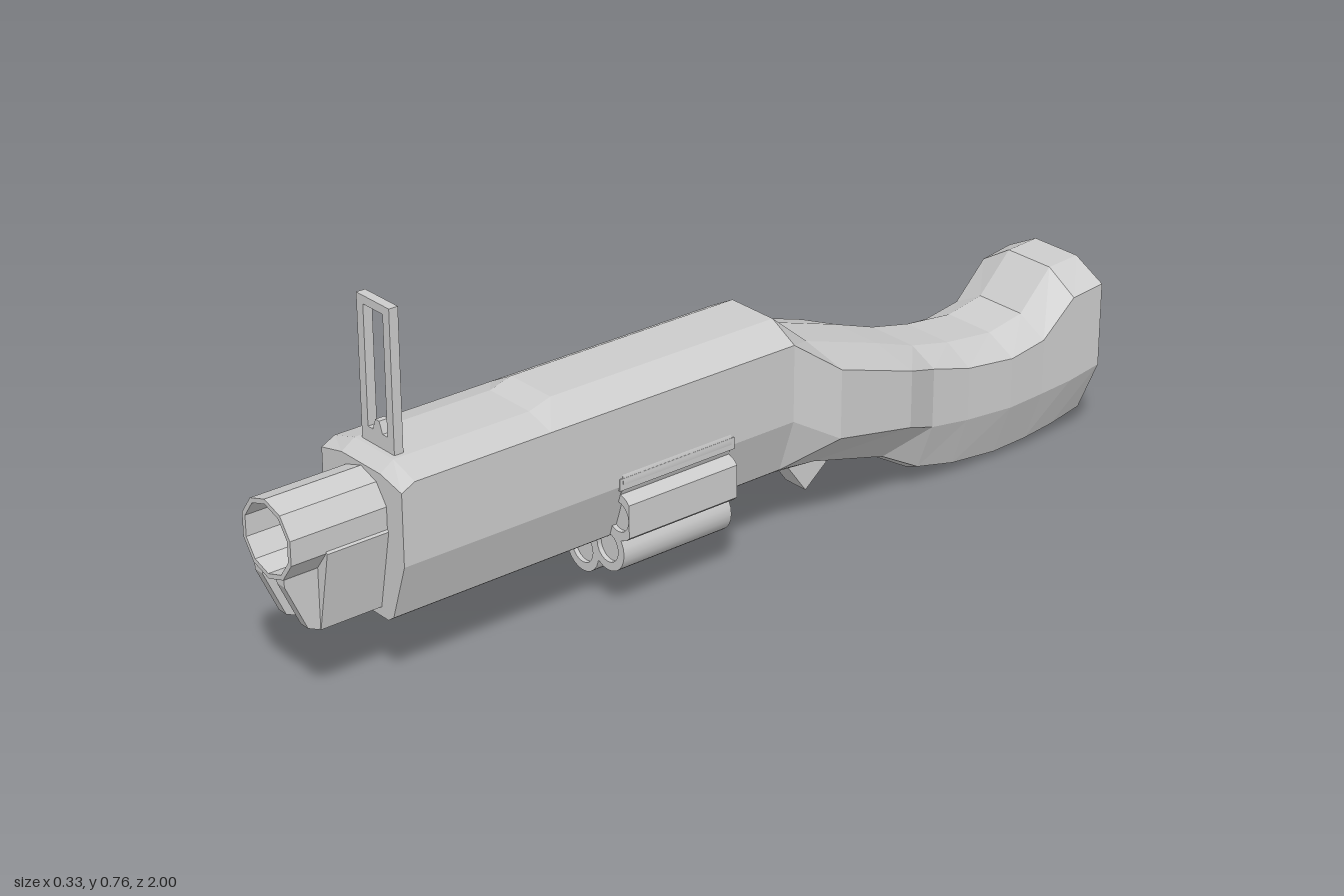
import * as THREE from 'three';
import { toCreasedNormals } from 'three/addons/utils/BufferGeometryUtils.js';

const flat = new THREE.MeshStandardMaterial({ color: 0xcccccc, flatShading: true });
const smooth = new THREE.MeshStandardMaterial({ color: 0xcccccc });

function polygon(points, Type = THREE.Shape) {
  return new Type(points.map(([x, y]) => new THREE.Vector2(x, y)));
}

// Extrude an xy outline from z0 to z1
function extrudeZ(shape, z0, z1) {
  return new THREE.ExtrudeGeometry(shape, { depth: z1 - z0, bevelEnabled: false, curveSegments: 10 })
    .translate(0, 0, z0);
}

// Extrude a side outline given as [z, y], centred on the given x
function extrudeX(points, width, x = 0) {
  return new THREE.ExtrudeGeometry(polygon(points), { depth: width, bevelEnabled: false })
    .translate(0, 0, -width / 2).rotateY(-Math.PI / 2).translate(x, 0, 0);
}

// Skin a run of clockwise rings going towards -z, closed at both ends
function loft(rings) {
  const n = rings[0].length;
  const index = [];
  for (let i = 0; i < rings.length - 1; i++) {
    for (let j = 0; j < n; j++) {
      const k = (j + 1) % n;
      const a = i * n + j, b = i * n + k, c = a + n, d = b + n;
      index.push(a, b, c, b, d, c);
    }
  }
  const last = (rings.length - 1) * n;
  for (let j = 1; j < n - 1; j++) {
    index.push(0, j + 1, j, last, last + j, last + j + 1);
  }
  const g = new THREE.BufferGeometry();
  g.setAttribute('position', new THREE.Float32BufferAttribute(rings.flat(2), 3));
  g.setIndex(index);
  const out = g.toNonIndexed();
  out.computeVertexNormals();
  return out;
}

// One mirrored section: top, shoulder, side, lower edge, bottom
function section([z, topY, side, shoulderY, midY, lowY, bottomY], topHalf, lowHalf, bottomHalf) {
  const half = [[topHalf, topY, z], [side, shoulderY, z], [side, midY, z], [lowHalf, lowY, z], [bottomHalf, bottomY, z]];
  return [...half, ...half.map(([x, y, w]) => [-x, y, w]).reverse()];
}

export function createModel() {
  const model = new THREE.Group();
  const add = (name, geometry, material = flat) => {
    const mesh = new THREE.Mesh(geometry, material);
    mesh.name = name;
    model.add(mesh);
  };

  // Long body running into the curved stock
  // z, top, half width, shoulder, side end, lower edge, bottom
  const bodyRows = [
    [0.79, 0.45, 0.125, 0.435, 0.285, 0.165, 0.153],
    [0.76, 0.47, 0.125, 0.45, 0.285, 0.165, 0.153],
    [0.45, 0.47, 0.125, 0.45, 0.285, 0.165, 0.153],
    [0.40, 0.485, 0.125, 0.45, 0.285, 0.165, 0.153],
    [-0.15, 0.485, 0.125, 0.45, 0.285, 0.165, 0.153],
    [-0.24, 0.41, 0.165, 0.385, 0.235, 0.155, 0.143],
    [-0.43, 0.35, 0.165, 0.325, 0.2, 0.105, 0.095],
    [-0.53, 0.315, 0.125, 0.285, 0.155, 0.05, 0.037],
    [-0.63, 0.293, 0.125, 0.257, 0.14, 0.027, 0.014],
    [-0.75, 0.28, 0.13, 0.245, 0.133, 0.015, 0],
    [-0.84, 0.297, 0.13, 0.26, 0.137, 0.018, 0.003],
    [-0.92, 0.38, 0.134, 0.335, 0.145, 0.027, 0.013],
    [-1, 0.385, 0.137, 0.345, 0.16, 0.043, 0.03],
  ];
  add('bodyAndStock', loft(bodyRows.map((r) => section(r, 0.06, 0.085, r[0] > -0.2 ? 0.068 : 0.052))));

  // Hollow ten-sided barrel
  const barrelProfile = [[0.08, 0.78], [0.08, 1], [0.07, 1], [0.07, 0.79], [0, 0.79]]
    .map(([r, y]) => new THREE.Vector2(r, y));
  add('barrel', new THREE.LatheGeometry(barrelProfile, 10).rotateX(Math.PI / 2).translate(0, 0.365, 0));

  // Block and twin fins below the barrel
  add('barrelBlock', extrudeZ(polygon([
    [-0.048, 0.173], [0.048, 0.173], [0.08, 0.34], [0.05, 0.37], [-0.05, 0.37], [-0.08, 0.34],
  ]), 0.78, 0.925));
  for (const s of [1, -1]) {
    add('barrelFin', extrudeX([
      [0.8, 0.175], [0.93, 0.175], [0.952, 0.185], [0.998, 0.285], [0.998, 0.3], [0.8, 0.3],
    ], 0.024, s * 0.035));
  }

  // Upright sight frame with a small pointed bead
  const frame = polygon([[-0.05, 0.465], [0.05, 0.465], [0.05, 0.76], [-0.05, 0.76]]);
  frame.holes.push(polygon([
    [-0.03, 0.5], [-0.03, 0.743], [0.03, 0.743], [0.03, 0.5],
    [0.015, 0.5], [0.006, 0.523], [-0.006, 0.523], [-0.015, 0.5],
  ], THREE.Path));
  add('sightFrame', extrudeZ(frame, 0.73, 0.75));

  // Eight-lobed revolving drum with bored chambers
  const cy = 0.215, orbit = 0.11, lobe = 0.05, count = 8;
  const outline = [];
  const steps = count * 10;
  for (let i = 0; i < steps; i++) {
    const a = (i / steps) * Math.PI * 2;
    const step = (Math.PI * 2) / count;
    const d = a - Math.round(a / step) * step;
    const r = orbit * Math.cos(d) + Math.sqrt(lobe ** 2 - (orbit * Math.sin(d)) ** 2);
    outline.push([THREE.MathUtils.clamp(r * Math.cos(a), -0.144, 0.144), cy + r * Math.sin(a)]);
  }
  const drum = polygon(outline);
  for (let i = 0; i < count; i++) {
    const a = (i / count) * Math.PI * 2;
    const x = orbit * Math.cos(a), y = cy + orbit * Math.sin(a);
    drum.holes.push(new THREE.Path().absarc(x, y, 0.032, 0, Math.PI * 2, true));
    add('chamberPlug', new THREE.CylinderGeometry(0.032, 0.032, 0.25, 20).rotateX(Math.PI / 2).translate(x, y, 0.147), smooth);
  }
  add('drum', toCreasedNormals(extrudeZ(drum, 0.012, 0.282), 0.6), smooth);

  // Slim frame strip over the drum on each side
  add('drumSlot', new THREE.BoxGeometry(0.254, 0.025, 0.285).translate(0, 0.289, 0.147));

  // Trigger
  add('trigger', extrudeX([
    [-0.15, 0.16], [-0.22, 0.128], [-0.27, 0.06], [-0.325, 0.105], [-0.33, 0.16],
  ], 0.06));

  return model;
}
